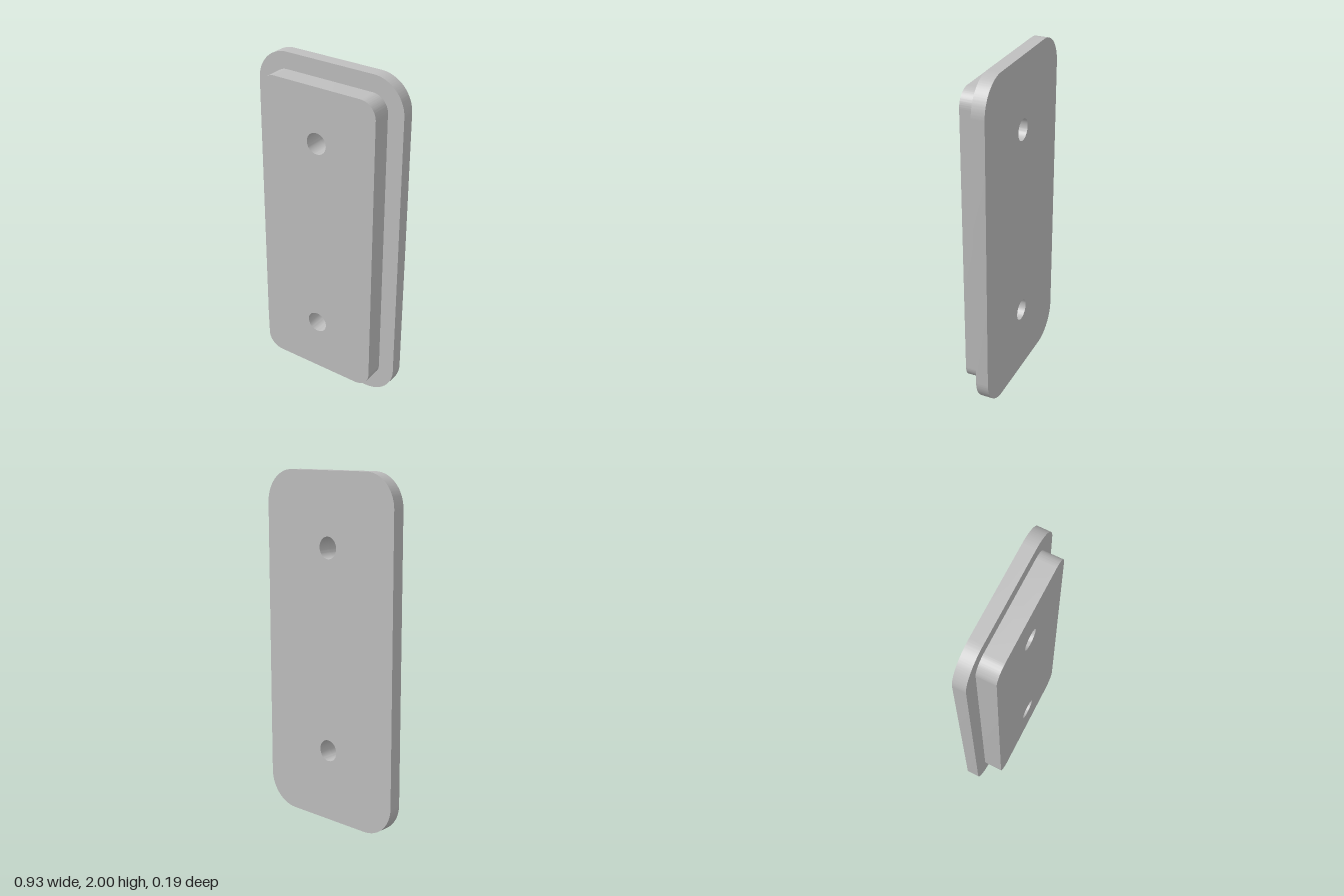
import * as THREE from 'three';
import { toCreasedNormals } from 'three/addons/utils/BufferGeometryUtils.js';

const HOLE_RADIUS = 0.062;
const HOLE_HEIGHTS = [0.418, 1.582];

// Upright rounded rectangle centred on y = 1, pierced by the two screw holes
function plateShape(width, height, r) {
  const x = width / 2, y0 = 1 - height / 2, y1 = 1 + height / 2;
  const shape = new THREE.Shape();
  shape.absarc(x - r, y0 + r, r, -Math.PI / 2, 0);
  shape.absarc(x - r, y1 - r, r, 0, Math.PI / 2);
  shape.absarc(-x + r, y1 - r, r, Math.PI / 2, Math.PI);
  shape.absarc(-x + r, y0 + r, r, Math.PI, Math.PI * 1.5);
  shape.closePath();
  for (const y of HOLE_HEIGHTS) {
    shape.holes.push(new THREE.Path().absarc(0, y, HOLE_RADIUS, 0, Math.PI * 2, true));
  }
  return shape;
}

function plate(name, width, height, radius, zBack, zFront, material) {
  const geometry = new THREE.ExtrudeGeometry(plateShape(width, height, radius), {
    depth: zFront - zBack, bevelEnabled: false, curveSegments: 24,
  });
  geometry.translate(0, 0, zBack);
  const mesh = new THREE.Mesh(toCreasedNormals(geometry, 0.6), material);
  mesh.name = name;
  return mesh;
}

export function createModel() {
  const grey = new THREE.MeshStandardMaterial({ color: 0xbfbfbf });
  grey.name = 'light grey';

  const model = new THREE.Group();
  model.name = 'steppedCoverPlate';
  // Wide flange at the back, narrower raised block in front
  model.add(plate('backFlange', 0.93, 2, 0.19, -0.094, -0.019, grey));
  model.add(plate('raisedBlock', 0.736, 1.806, 0.095, -0.019, 0.094, grey));
  return model;
}
